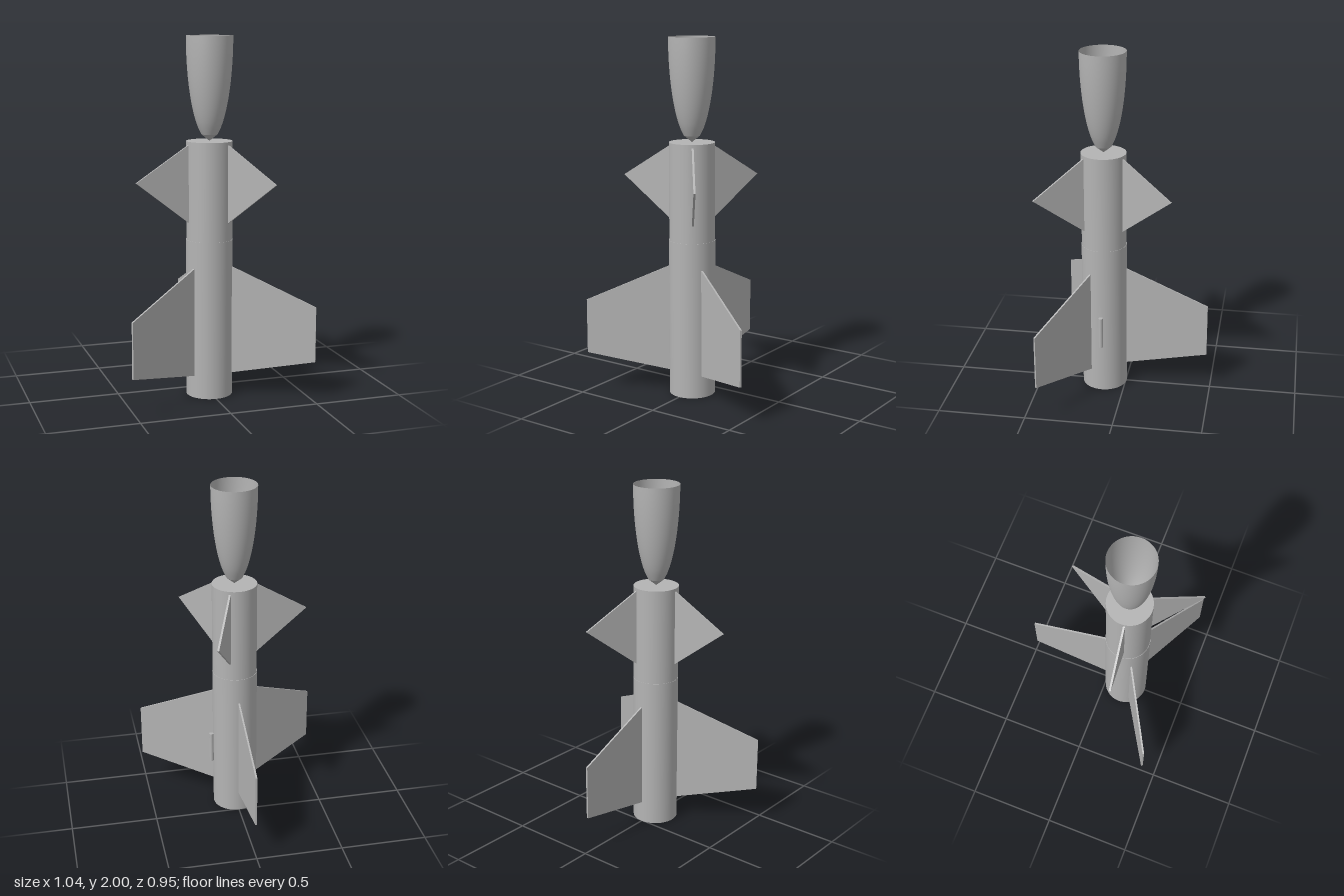
import * as THREE from 'three';

const R = 0.128;        // body radius
const AXIS_Z = 0.124;   // the body axis sits forward of the centre

export function createModel() {
  const model = new THREE.Group();
  model.name = 'rocket';
  const grey = new THREE.MeshStandardMaterial({ color: 0xb4b4b4 });
  grey.name = 'plain grey';
  const greyOpen = new THREE.MeshStandardMaterial({ color: 0xb4b4b4, side: THREE.DoubleSide });
  greyOpen.name = 'plain grey shell';

  const add = (name, geometry, material = grey) => {
    const mesh = new THREE.Mesh(geometry, material);
    mesh.name = name;
    model.add(mesh);
    return mesh;
  };
  const tube = (name, radius, y0, y1, sides) => {
    const mesh = add(name, new THREE.CylinderGeometry(radius, radius, y1 - y0, sides));
    mesh.position.y = (y0 + y1) / 2;
    return mesh;
  };

  // Body: two stacked tubes with a faint joint
  tube('lowerBody', R + 0.001, 0, 0.885, 64);
  tube('upperBody', R - 0.001, 0.885, 1.43, 64);

  // Launch lug on the left side
  tube('launchLug', 0.013, 0.29, 0.475, 20).position.x = 0.141;

  // Upturned hollow nose cone: elliptical shell with a small conical tip
  const base = 2, length = 0.57, steps = 16;
  const profile = [];
  for (let i = steps; i >= 0; i--) {
    const t = i / steps;
    profile.push(new THREE.Vector2(R * Math.sqrt(1 - t * t), base - length * t));
  }
  add('noseTip', new THREE.LatheGeometry(profile.slice(0, 2), 64, Math.PI / 2), greyOpen);
  add('noseShell', new THREE.LatheGeometry(profile.slice(1), 64, Math.PI / 2), greyOpen);

  // Fins: thin plates around the axis, outline given as (radius, height)
  const finSet = (name, outline, thickness, startAngle) => {
    const shape = new THREE.Shape(outline.map(([r, y]) => new THREE.Vector2(r, y)));
    const geometry = new THREE.ExtrudeGeometry(shape, { depth: thickness, bevelEnabled: false });
    geometry.translate(0, 0, -thickness / 2);
    for (let i = 0; i < 3; i++) {
      add(name + (i + 1), geometry).rotation.y = startAngle + (i * Math.PI * 2) / 3;
    }
  };
  finSet('tailFin', [[R - 0.003, 0.125], [0.6, 0.215], [0.6, 0.525], [R - 0.003, 0.735]], 0.01, Math.PI / 2);
  finSet('frontFin', [[R - 0.003, 0.983], [0.433, 1.22], [R - 0.003, 1.413]], 0.011, THREE.MathUtils.degToRad(67));

  for (const part of model.children) part.position.z = AXIS_Z;
  return model;
}
